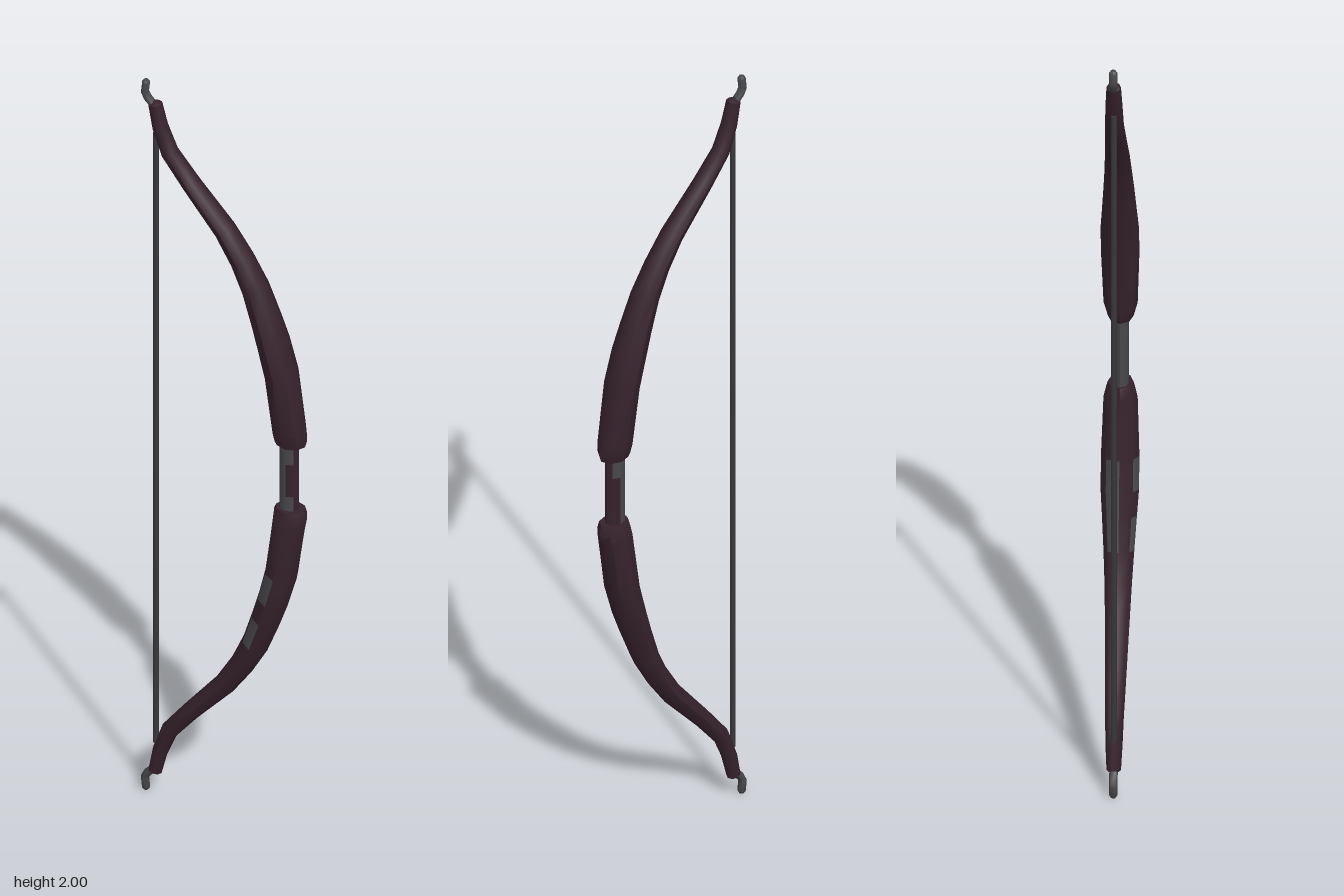
import * as THREE from 'three';
import { toCreasedNormals } from 'three/addons/utils/BufferGeometryUtils.js';

const wood = new THREE.MeshStandardMaterial({ color: 0x36222c });
wood.name = 'dark wood';
const steel = new THREE.MeshStandardMaterial({ color: 0x48484b });
steel.name = 'worn grey';
const cord = new THREE.MeshStandardMaterial({ color: 0x39383b });
cord.name = 'cord';

const SIDES = 8;

// Upper limb sections, from grip to tip: [y, x, half width, half depth]
const LIMB = [
  [1.09, 0.172, 0, 0],
  [1.09, 0.172, 0.037, 0.03],
  [1.105, 0.172, 0.043, 0.034],
  [1.13, 0.168, 0.042, 0.04],
  [1.28, 0.148, 0.04, 0.045],
  [1.36, 0.127, 0.038, 0.045],
  [1.42, 0.108, 0.036, 0.041],
  [1.5, 0.08, 0.033, 0.036],
  [1.57, 0.045, 0.029, 0.032],
  [1.64, 0, 0.026, 0.029],
  [1.745, -0.09, 0.022, 0.025],
  [1.815, -0.145, 0.021, 0.022],
  [1.88, -0.17, 0.019, 0.02],
  [1.94, -0.183, 0.017, 0.017],
  [1.95, -0.185, 0, 0],
];

// Small hooked nock at the end of the limb
const NOCK = [
  [1.935, -0.186, 0.01, 0.01],
  [1.952, -0.203, 0.01, 0.01],
  [1.966, -0.21, 0.01, 0.01],
  [1.994, -0.207, 0.01, 0.01],
  [2.0, -0.207, 0.006, 0.006],
  [2.0, -0.207, 0, 0],
];

const GRIP = [0.9, 0.95, 1.04, 1.11].map((y) => [y, 0.168, 0.026, 0.02]);

// Mirrors sections to the lower half, keeping them ordered upwards
const flip = (sections) => sections.map(([y, ...rest]) => [2 - y, ...rest]).reverse();

// Sweeps an eight-sided section along the list; isGrey picks the worn faces
function sweep(name, sections, isGrey) {
  const pos = [];
  const woodFaces = [];
  const greyFaces = [];
  const last = sections.length - 1;
  sections.forEach(([y, x, w, d], i) => {
    const a = sections[Math.max(0, i - 1)];
    const b = sections[Math.min(last, i + 1)];
    const tx = b[1] - a[1];
    const ty = b[0] - a[0];
    const len = Math.hypot(tx, ty) || 1;
    for (let k = 0; k < SIDES; k++) {
      const t = (k / SIDES) * Math.PI * 2;
      const off = Math.cos(t) * w;
      pos.push(x + (off * ty) / len, y - (off * tx) / len, Math.sin(t) * d);
    }
    if (i === last) return;
    for (let k = 0; k < SIDES; k++) {
      const p = i * SIDES + k;
      const q = i * SIDES + ((k + 1) % SIDES);
      const midY = (y + sections[i + 1][0]) / 2;
      const list = isGrey(midY, k) ? greyFaces : woodFaces;
      list.push(p, p + SIDES, q, q, p + SIDES, q + SIDES);
    }
  });
  const geo = new THREE.BufferGeometry();
  geo.setAttribute('position', new THREE.Float32BufferAttribute(pos, 3));
  geo.setIndex([...woodFaces, ...greyFaces]);
  geo.addGroup(0, woodFaces.length, 0);
  geo.addGroup(woodFaces.length, greyFaces.length, 1);
  const mesh = new THREE.Mesh(toCreasedNormals(geo, 0.85), [wood, steel]);
  mesh.name = name;
  return mesh;
}

export function createModel() {
  const bow = new THREE.Group();
  bow.name = 'bow';

  // Limbs; the lower one has worn patches on its inner faces
  bow.add(sweep('upperLimb', LIMB, () => false));
  bow.add(sweep('lowerLimb', flip(LIMB), (y, k) => {
    const inBand = (y > 0.5 && y < 0.58) || (y > 0.64 && y < 0.72);
    return (k === 2 && inBand) || (k === 4 && y > 0.5 && y < 0.72);
  }));

  // Nocks
  bow.add(sweep('upperNock', NOCK, () => true));
  bow.add(sweep('lowerNock', flip(NOCK), () => true));

  // Grip: worn inside, bare wood outside and in the middle of the front
  bow.add(sweep('grip', GRIP, (y, k) => {
    if (k === 0 || k === 7) return false;
    if (k === 1) return y > 1.04 || y < 0.95;
    if (k === 6) return y > 1.04;
    return true;
  }));

  // String
  const string = new THREE.Mesh(new THREE.CylinderGeometry(0.007, 0.007, 1.72, 6), cord);
  string.name = 'string';
  string.position.set(-0.181, 1, 0);
  bow.add(string);

  return bow;
}
